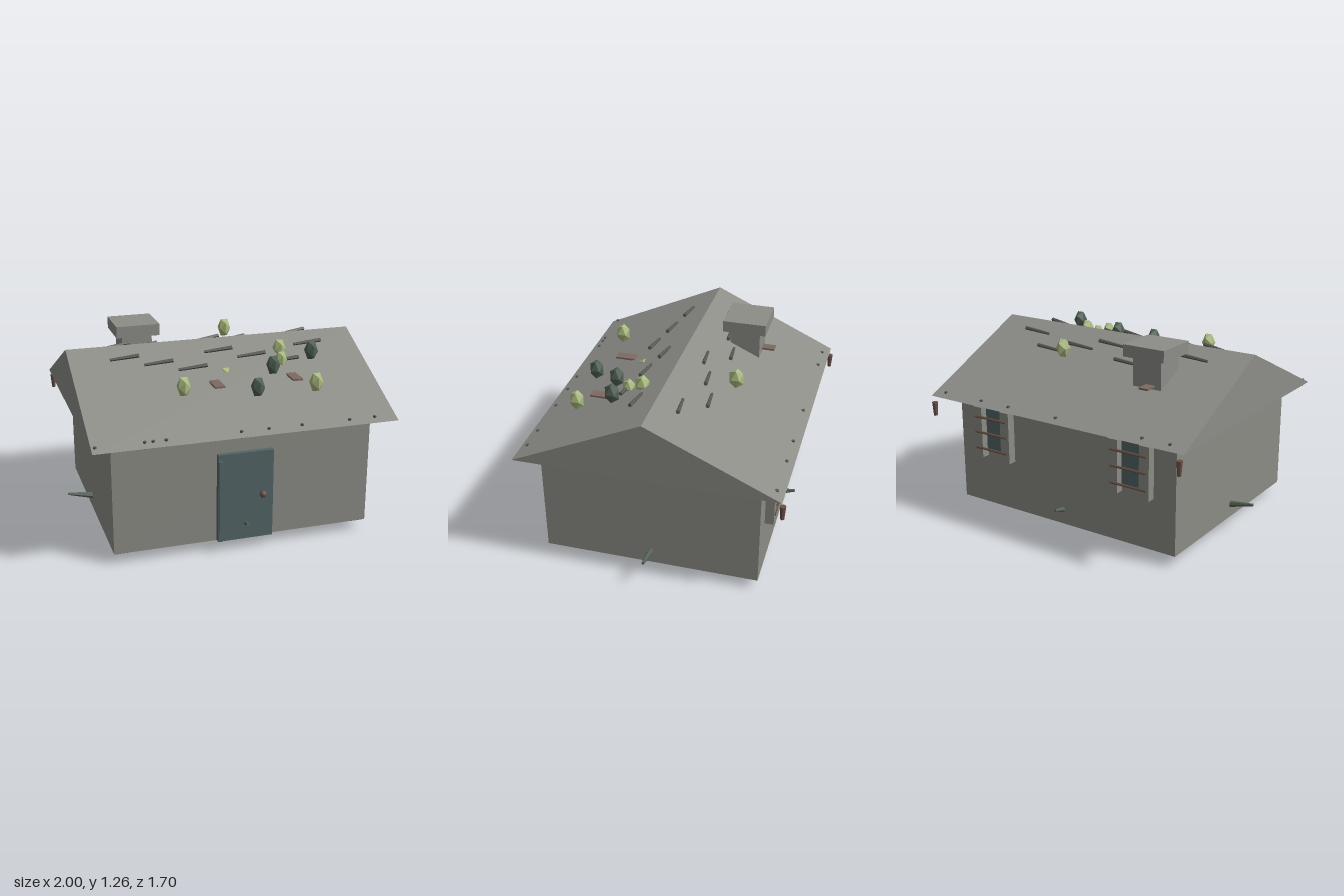
import * as THREE from 'three';

const material = (name, color) => {
  const m = new THREE.MeshStandardMaterial({ color, flatShading: true });
  m.name = name;
  return m;
};

export function createModel() {
  const house = new THREE.Group();
  house.name = 'cottage';
  const wallGray = material('wall gray', 0x8c8c86);
  const roofGray = material('roof gray', 0x8d8d88);
  const teal = material('door teal', 0x546566);
  const lightGreen = material('light moss', 0xabbb80);
  const darkGreen = material('dark moss', 0x4f6054);
  const rootGreen = material('root green', 0x566356);
  const twigGray = material('twig gray', 0x5a5b55);
  const plankBrown = material('plank brown', 0x7d6a61);
  const darkBrown = material('dark brown', 0x695045);

  const add = (name, geometry, mat) => {
    const mesh = new THREE.Mesh(geometry, mat);
    mesh.name = name;
    house.add(mesh);
    return mesh;
  };
  // Box given by its extents along each axis
  const box = (name, mat, [x0, x1], [y0, y1], [z0, z1]) =>
    add(name, new THREE.BoxGeometry(x1 - x0, y1 - y0, z1 - z0), mat)
      .position.set((x0 + x1) / 2, (y0 + y1) / 2, (z0 + z1) / 2);
  // Tapered rod from point a to point b
  const rod = (name, mat, a, b, ra, rb, sides = 6) => {
    const from = new THREE.Vector3(...a), to = new THREE.Vector3(...b);
    const dir = to.clone().sub(from);
    const mesh = add(name, new THREE.CylinderGeometry(rb, ra, dir.length(), sides), mat);
    mesh.position.copy(from).add(to).multiplyScalar(0.5);
    mesh.quaternion.setFromUnitVectors(new THREE.Vector3(0, 1, 0), dir.normalize());
  };

  // Walls
  box('walls', wallGray, [-0.838, 0.835], [0.08, 0.812], [-0.688, 0.712]);

  // Solid gabled roof
  const gable = new THREE.Shape();
  gable.moveTo(-0.846, 0.808);
  gable.lineTo(0.832, 0.808);
  gable.lineTo(-0.008, 1.195);
  gable.closePath();
  const roofGeometry = new THREE.ExtrudeGeometry(gable, { depth: 1.932, bevelEnabled: false });
  roofGeometry.rotateY(Math.PI / 2).translate(-0.968, 0, 0);
  add('roof', roofGeometry, roofGray);

  // Chimney
  box('chimneyStack', roofGray, [-0.555, -0.352], [0.95, 1.19], [-0.415, -0.213]);
  box('chimneyCap', roofGray, [-0.6, -0.307], [1.19, 1.267], [-0.46, -0.17]);

  // Twigs laid over both roof slopes
  for (const side of [1, -1]) {
    for (let i = 0; i < 7; i++) {
      const x = -0.618 + i * 0.2065, row = i % 3;
      const y = 1.152 - row * 0.031, z = 0.008 + side * (0.14 + row * 0.065);
      rod('roofTwig', twigGray, [x - 0.092, y - 0.01, z - side * 0.009],
        [x + 0.092, y + 0.01, z + side * 0.009], 0.009, 0.013);
    }
  }

  // Loose planks on the roof
  box('roofPlank', plankBrown, [-0.13, -0.065], [1.014, 1.026], [0.37, 0.51]);
  box('roofPlank', plankBrown, [0.387, 0.452], [1.014, 1.026], [0.37, 0.51]);
  box('roofPlank', plankBrown, [-0.512, -0.448], [1.014, 1.026], [-0.5, -0.36]);

  // Moss clumps: x, y, z, size
  const clump = (name, mat, [x, y, z, s = 1]) => {
    const mesh = add(name, new THREE.IcosahedronGeometry(1, 0), mat);
    mesh.scale.set(0.044 * s, 0.07 * s, 0.052 * s);
    mesh.position.set(x, y, z);
  };
  [[-0.342, 1.063, 0.548], [0.515, 1.018, 0.575], [0.415, 1.132, 0.17], [0.393, 1.085, 0.267, 0.9],
    [0.21, 1.148, -0.382], [0.007, 1.015, 0.29, 0.95]].forEach(p => clump('lightMoss', lightGreen, p));
  [[0.125, 1.025, 0.58], [0.297, 1.092, 0.38], [0.582, 1.146, 0.315], [0.62, 1.13, 0.01]]
    .forEach(p => clump('darkMoss', darkGreen, p));

  // Small drips along the eaves
  for (const x of [-0.945, -0.65, -0.6, -0.52, -0.055, 0.12, 0.335, 0.65, 0.82]) {
    rod('eaveDrip', twigGray, [x, 0.838, 0.8], [x, 0.79, 0.8], 0.012, 0.006, 5);
  }
  for (const x of [-0.85, -0.66, -0.03, 0.345, 0.57, 0.88]) {
    rod('eaveDrip', twigGray, [x, 0.838, -0.784], [x, 0.79, -0.784], 0.012, 0.006, 5);
  }

  // Hanging pegs at the back corners
  for (const x of [-0.943, 0.937]) {
    rod('cornerPeg', darkBrown, [x, 0.77, -0.833], [x, 0.677, -0.833], 0.019, 0.012, 8);
  }

  // Door, its post and knob
  box('door', teal, [-0.182, 0.178], [0.082, 0.667], [0.7, 0.743]);
  box('doorPost', teal, [-0.18, -0.155], [0.088, 0.627], [0.74, 0.76]);
  add('doorKnob', new THREE.IcosahedronGeometry(0.023, 1), darkBrown).position.set(0.105, 0.382, 0.765);

  // Barred back windows
  for (const cx of [-0.535, 0.535]) {
    box('windowPane', teal, [cx - 0.085, cx + 0.085], [0.46, 0.76], [-0.698, -0.68]);
    for (const s of [-1, 1]) {
      box('windowJamb', wallGray, [cx + s * 0.113 - 0.035, cx + s * 0.113 + 0.035], [0.42, 0.765], [-0.745, -0.68]);
    }
    for (const y of [0.7, 0.595, 0.485]) {
      rod('windowBar', darkBrown, [cx - 0.13, y, -0.745], [cx + 0.13, y, -0.745], 0.008, 0.008);
    }
  }

  // Roots radiating from below, their tips piercing the walls
  for (let i = 0; i < 8; i++) {
    const a = i * Math.PI / 4, cx = Math.cos(a), cz = Math.sin(a) * 0.8;
    rod('root', rootGreen, [cx * 0.33, 0.07, 0.01 + cz * 0.33],
      [cx * 0.998, 0.2, 0.01 + cz * 0.975], 0.062, 0.009, 8);
  }

  // Corner pads under the walls
  for (const x of [-0.783, 0.78]) {
    for (const z of [-0.636, 0.66]) {
      box('cornerPad', darkBrown, [x - 0.045, x + 0.045], [0.073, 0.083], [z - 0.04, z + 0.04]);
    }
  }
  return house;
}
